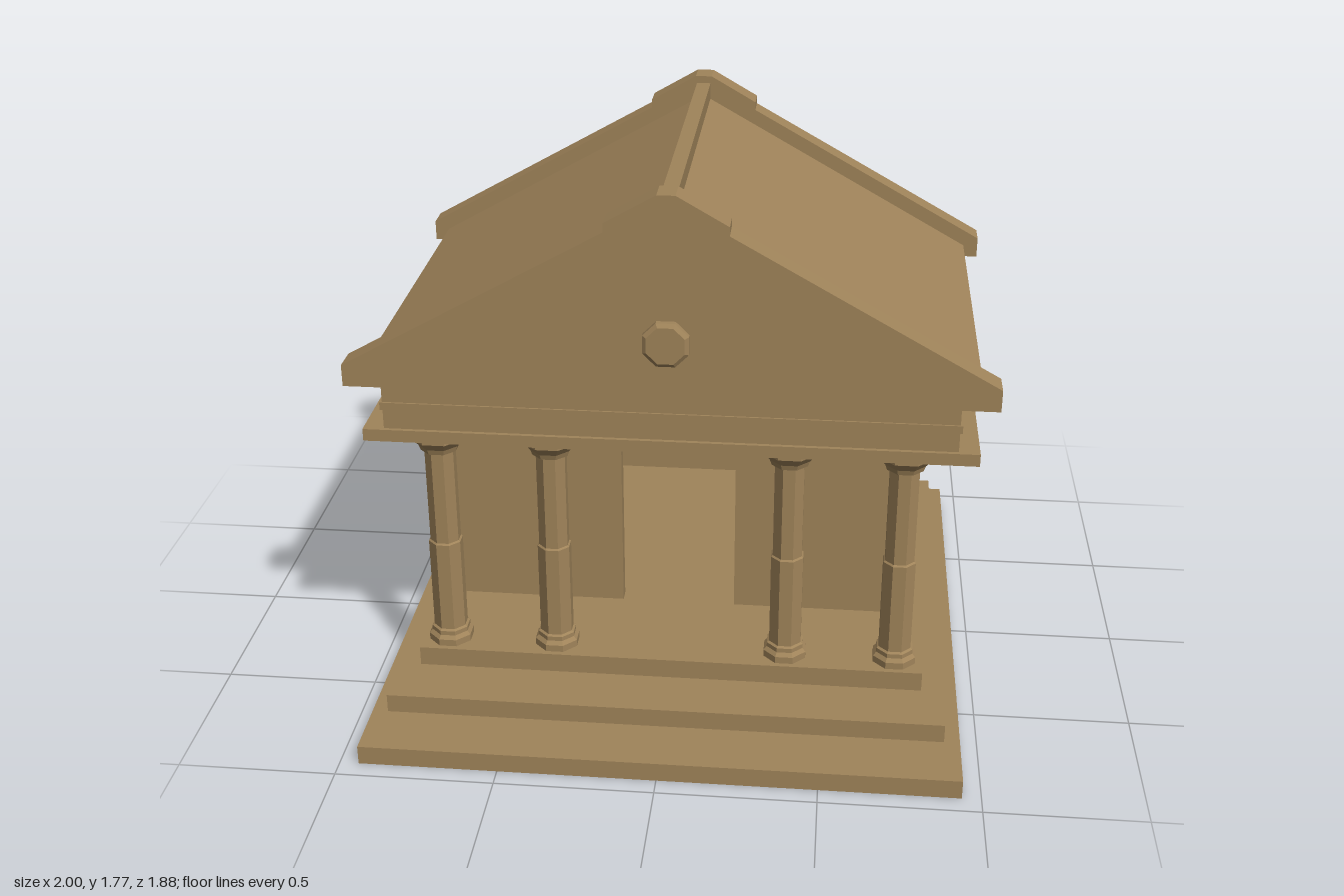
import * as THREE from 'three';

const stone = new THREE.MeshStandardMaterial({ color: 0xa0845a, flatShading: true });

function add(parent, name, geometry) {
  const mesh = new THREE.Mesh(geometry, stone);
  mesh.name = name;
  parent.add(mesh);
  return mesh;
}

// Box centred on x, given half width, y range and z range
function slab(parent, name, halfW, y0, y1, z0, z1) {
  const mesh = add(parent, name, new THREE.BoxGeometry(halfW * 2, y1 - y0, z1 - z0));
  mesh.position.set(0, (y0 + y1) / 2, (z0 + z1) / 2);
}

// Profile mirrored across x = 0 (right half listed bottom to top), extruded along z
function gable(parent, name, half, z0, z1) {
  const left = half.map(([x, y]) => [-x, y]).reverse();
  const shape = new THREE.Shape([...half, ...left].map(p => new THREE.Vector2(...p)));
  const geometry = new THREE.ExtrudeGeometry(shape, { depth: z1 - z0, bevelEnabled: false });
  add(parent, name, geometry).position.z = z0;
}

// Eight-sided turned form with flat faces towards the axes; radii are to the flats
function octagonal(points) {
  const k = 1 / Math.cos(Math.PI / 8);
  return new THREE.LatheGeometry(points.map(([r, y]) => new THREE.Vector2(r * k, y)), 8, Math.PI / 8);
}

export function createModel() {
  const temple = new THREE.Group();
  temple.name = 'temple';

  // Stepped platform
  slab(temple, 'lowerStep', 0.94, 0, 0.063, -0.94, 0.94);
  slab(temple, 'middleStep', 0.89, 0.063, 0.125, -0.89, 0.745);
  slab(temple, 'upperStep', 0.82, 0.125, 0.19, -0.84, 0.56);

  // Hollow chamber with a full-height doorway; plan drawn with y = -z
  const plan = [
    [0.19, -0.2], [0.75, -0.2], [0.75, 0.83], [-0.75, 0.83], [-0.75, -0.2], [-0.19, -0.2],
    [-0.19, -0.155], [-0.705, -0.155], [-0.705, 0.785], [0.705, 0.785], [0.705, -0.155], [0.19, -0.155],
  ];
  const walls = new THREE.ExtrudeGeometry(
    new THREE.Shape(plan.map(p => new THREE.Vector2(...p))),
    { depth: 0.755, bevelEnabled: false });
  walls.rotateX(-Math.PI / 2);
  add(temple, 'chamberWalls', walls).position.y = 0.19;

  // Columns with stepped base, tapered shaft and flared capital
  const columnShape = octagonal([
    [0, 0.19], [0.068, 0.19], [0.068, 0.213], [0.058, 0.225], [0.058, 0.24], [0.051, 0.245],
    [0.051, 0.56], [0.046, 0.565], [0.046, 0.885], [0.056, 0.89], [0.062, 0.908],
    [0.085, 0.937], [0.085, 0.945], [0, 0.945],
  ]);
  for (const x of [-0.73, -0.375, 0.375, 0.73]) {
    add(temple, 'column', columnShape).position.set(x, 0, 0.475);
  }

  // Entablature
  slab(temple, 'architrave', 0.95, 0.945, 0.985, -0.84, 0.56);
  slab(temple, 'frieze', 0.885, 0.985, 1.13, -0.82, 0.547);
  slab(temple, 'friezeBand', 0.892, 1.05, 1.075, -0.826, 0.553);

  // Roof and ridge
  gable(temple, 'roof', [[0.95, 1.13], [0.95, 1.172], [0.022, 1.695]], -0.75, 0.472);
  slab(temple, 'ridge', 0.024, 1.66, 1.75, -0.75, 0.472);

  // Gable ends with raised peaks
  const pediment = [[1, 1.13], [1, 1.2], [0.185, 1.657], [0.185, 1.685], [0.028, 1.775]];
  gable(temple, 'frontPediment', pediment, 0.472, 0.56);
  gable(temple, 'backPediment', pediment, -0.84, -0.75);

  // Medallion on the front pediment
  const medallion = octagonal([[0, 0], [0.055, 0], [0.055, 0.01], [0.07, 0.015], [0.07, 0.032], [0.058, 0.041], [0, 0.041]]);
  medallion.rotateX(Math.PI / 2);
  add(temple, 'medallion', medallion).position.set(0, 1.32, 0.559);

  return temple;
}
